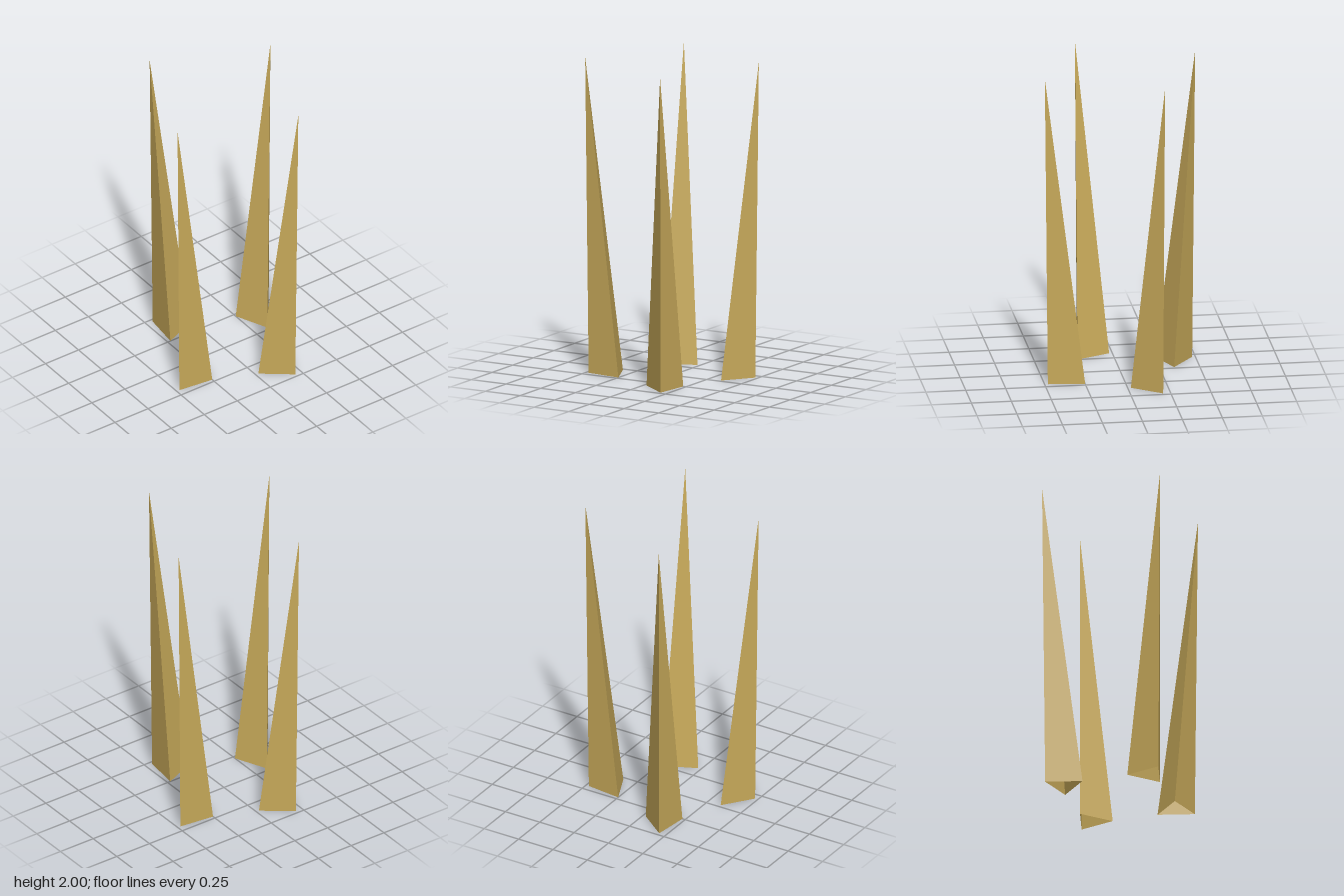
import * as THREE from 'three';

// Leaning three-sided spike, open at the base
function spikeGeometry() {
  const base = [[0.25, -0.23], [0.342, -0.02], [0.48, -0.203]];
  const apex = [0.5, 2, -0.212];
  const positions = [];
  base.forEach(([x, z], i) => {
    const [nx, nz] = base[(i + 1) % base.length];
    positions.push(x, 0, z, nx, 0, nz, ...apex);
  });
  const geometry = new THREE.BufferGeometry();
  geometry.setAttribute('position', new THREE.Float32BufferAttribute(positions, 3));
  geometry.computeVertexNormals();
  return geometry;
}

export function createModel() {
  const model = new THREE.Group();
  model.name = 'spikeRing';
  const gold = new THREE.MeshStandardMaterial({
    color: 0xc8aa5a, flatShading: true, side: THREE.DoubleSide,
  });
  gold.name = 'gold';

  // Four spikes, each a quarter turn around the centre
  const geometry = spikeGeometry();
  ['right', 'front', 'left', 'back'].forEach((_, i) => {
    const spike = new THREE.Mesh(geometry, gold);
    spike.name = `spike${i + 1}`;
    spike.rotation.y = -i * Math.PI / 2;
    model.add(spike);
  });
  return model;
}
